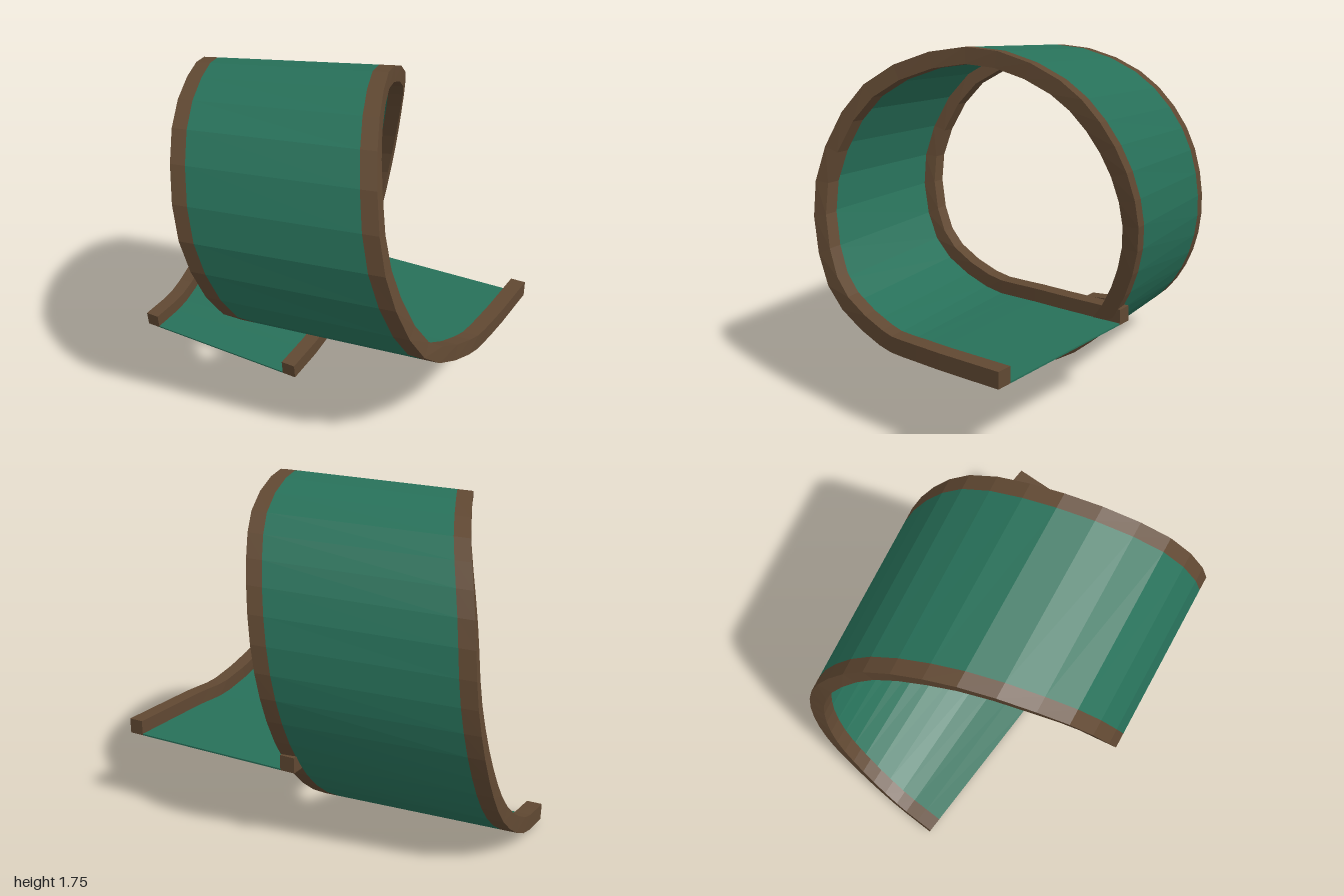
import * as THREE from 'three';

const RAIL = 0.08;      // rail width and height
const PLATE = 0.008;    // deck thickness
const SEGMENTS = 39;

// outer bottom edges of the looping track, matched station by station
const edge = (pts) => new THREE.CatmullRomCurve3(pts.map((p) => new THREE.Vector3(...p)));
const rightEdge = edge([
  [0.03, 0, 0.16], [0.03, 0.06, -0.18], [0.04, 0.26, -0.5], [0.06, 0.56, -0.71],
  [0.1, 0.93, -0.8], [0.19, 1.32, -0.715], [0.31, 1.62, -0.485], [0.44, 1.755, -0.03],
  [0.64, 1.56, 0.455], [0.8, 1.08, 0.655], [0.92, 0.6, 0.46], [0.98, 0.41, 0.05],
  [1, 0.4, -0.2], [1, 0.4, -0.68],
]);
const leftEdge = edge([
  [-1, 0.02, 0.16], [-1, 0.06, -0.1], [-0.99, 0.24, -0.36], [-0.975, 0.52, -0.53],
  [-0.935, 0.87, -0.59], [-0.87, 1.25, -0.51], [-0.74, 1.555, -0.28], [-0.57, 1.69, 0.13],
  [-0.37, 1.52, 0.6], [-0.21, 1.05, 0.795], [-0.1, 0.6, 0.62], [-0.04, 0.41, 0.2],
  [-0.03, 0.4, -0.15], [-0.03, 0.4, -0.68],
]);

// frame at each station: both edges, the side direction and the inward normal
function makeFrames() {
  const frames = [];
  for (let i = 0; i <= SEGMENTS; i++) {
    const t = i / SEGMENTS;
    const left = leftEdge.getPoint(t);
    const right = rightEdge.getPoint(t);
    const side = right.clone().sub(left).normalize();
    const tangent = leftEdge.getTangent(t).add(rightEdge.getTangent(t));
    const inward = side.clone().cross(tangent).normalize();
    frames.push({ left, right, side, inward });
  }
  return frames;
}

// sweep a rectangle along one edge; s0 and s1 give its side limits at a frame
function sweep(frames, corner, height) {
  const rings = frames.map((f) => {
    const [a, b] = corner(f);
    const up = f.inward.clone().multiplyScalar(height);
    return [a, b, b.clone().add(up), a.clone().add(up)];
  });
  const pos = [];
  const quad = (a, b, c, d) => [a, b, c, a, c, d].forEach((v) => pos.push(v.x, v.y, v.z));
  for (let i = 0; i < rings.length - 1; i++) {
    for (let k = 0; k < 4; k++) {
      const m = (k + 1) % 4;
      quad(rings[i][k], rings[i + 1][k], rings[i + 1][m], rings[i][m]);
    }
  }
  const [a, b, c, d] = rings[0];
  quad(a, b, c, d);
  const [e, f, g, h] = rings[rings.length - 1];
  quad(h, g, f, e);
  const geometry = new THREE.BufferGeometry();
  geometry.setAttribute('position', new THREE.Float32BufferAttribute(pos, 3));
  geometry.computeVertexNormals();
  return geometry;
}

export function createModel() {
  const group = new THREE.Group();
  group.name = 'loopTrack';
  const green = new THREE.MeshStandardMaterial({ color: 0x277059 });
  green.name = 'deckGreen';
  const brown = new THREE.MeshStandardMaterial({ color: 0x604832 });
  brown.name = 'railBrown';

  const frames = makeFrames();
  const shift = (p, f, d) => p.clone().addScaledVector(f.side, d);
  const add = (name, material, corner, height) => {
    const mesh = new THREE.Mesh(sweep(frames, corner, height), material);
    mesh.name = name;
    group.add(mesh);
  };

  // thin deck between the two raised rails
  add('deck', green, (f) => [shift(f.left, f, RAIL), shift(f.right, f, -RAIL)], PLATE);
  add('rightRail', brown, (f) => [f.left.clone(), shift(f.left, f, RAIL)], RAIL);
  add('leftRail', brown, (f) => [shift(f.right, f, -RAIL), f.right.clone()], RAIL);
  return group;
}
